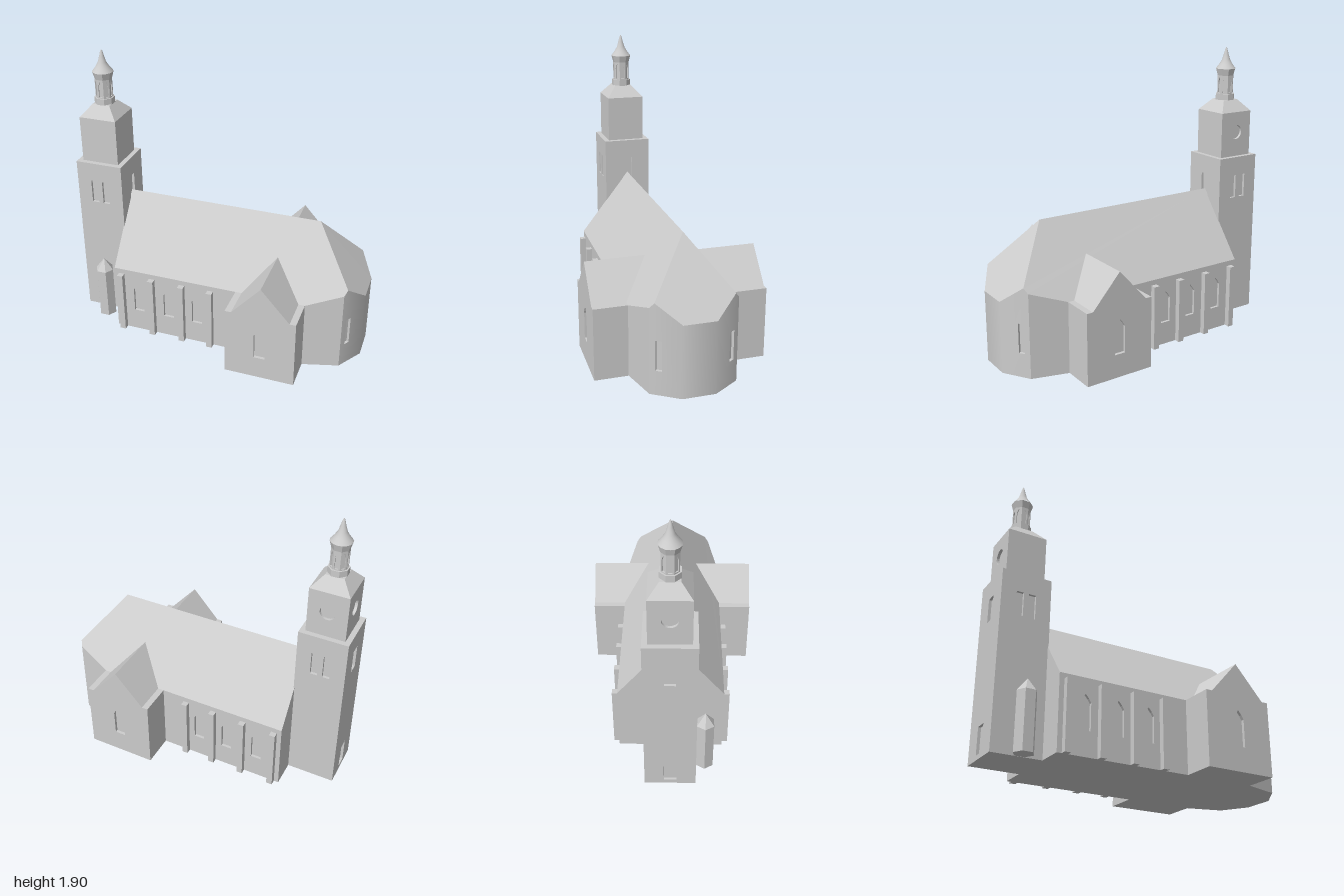
import * as THREE from 'three';

const stone = new THREE.MeshStandardMaterial({ color: 0xcccccc });
stone.name = 'pale stone';

const V = (pts) => pts.map(([x, y]) => new THREE.Vector2(x, y));

function add(parent, name, geometry) {
  const mesh = new THREE.Mesh(geometry, stone);
  mesh.name = name;
  parent.add(mesh);
  return mesh;
}

// Openings, given in wall coordinates (s along the wall, y up)
const rect = (s, w, y0, y1) => [[s - w / 2, y0], [s + w / 2, y0], [s + w / 2, y1], [s - w / 2, y1]];
const arch = (s, w, y0, spring, peak) => [
  [s - w / 2, y0], [s + w / 2, y0], [s + w / 2, spring],
  [s + w * 0.29, spring + (peak - spring) * 0.5], [s, peak],
  [s - w * 0.29, spring + (peak - spring) * 0.5], [s - w / 2, spring]];
const round = (s, y, r) => Array.from({ length: 24 }, (_, i) => {
  const a = (i / 24) * Math.PI * 2;
  return [s + r * Math.cos(a), y + r * Math.sin(a)];
});

// Wall from a to b (x, z) with recessed openings; bend rounds the shading at its ends
function wall(parent, name, a, b, outline, holes = [], depth = 0.018, bend = null) {
  const group = new THREE.Group();
  group.name = name;
  const dx = b[0] - a[0], dz = b[1] - a[1], length = Math.hypot(dx, dz);
  group.position.set(a[0], 0, a[1]);
  group.rotation.y = Math.atan2(-dz, dx);
  const shape = new THREE.Shape(V(outline));
  for (const h of holes) shape.holes.push(new THREE.Path(V(h)));
  const panel = new THREE.ExtrudeGeometry(shape, { depth, bevelEnabled: false });
  panel.translate(0, 0, -depth);
  if (bend) {
    const n = panel.attributes.normal, p = panel.attributes.position;
    for (let i = 0; i < n.count; i++) {
      if (n.getZ(i) < 0.9) continue;
      const t = bend[0] + (bend[1] - bend[0]) * (p.getX(i) / length);
      n.setXYZ(i, Math.sin(t), 0, Math.cos(t));
    }
  }
  add(group, name + 'Panel', panel);
  if (holes.length) {
    const back = new THREE.ShapeGeometry(new THREE.Shape(V(outline)));
    back.translate(0, 0, -depth);
    add(group, name + 'Recess', back);
  }
  parent.add(group);
}

// Flat convex face from its corners, counter-clockwise seen from outside
function face(parent, name, pts) {
  const pos = [];
  for (let i = 1; i < pts.length - 1; i++) pos.push(...pts[0], ...pts[i], ...pts[i + 1]);
  const g = new THREE.BufferGeometry();
  g.setAttribute('position', new THREE.Float32BufferAttribute(pos, 3));
  g.computeVertexNormals();
  return add(parent, name, g);
}
const mirrorZ = (pts) => pts.map((p) => [p[0], p[1], -p[2]]).reverse();

// Straight-sided solid with a regular base
function prism(parent, name, rTop, rBottom, y0, y1, sides, turn, x, z) {
  const g = new THREE.CylinderGeometry(rTop, rBottom, y1 - y0, sides, 1).toNonIndexed();
  g.computeVertexNormals();
  const mesh = add(parent, name, g);
  mesh.position.set(x, (y0 + y1) / 2, z);
  mesh.rotation.y = turn;
}

// Four walls of a square tower stage; holes listed as front, right (+x), back, left
function stage(parent, name, cx, h, y0, y1, holes) {
  const c = [[cx - h, h], [cx + h, h], [cx + h, -h], [cx - h, -h]];
  c.forEach((p, i) => wall(parent, name + 'Wall', p, c[(i + 1) % 4],
    [[0, y0], [2 * h, y0], [2 * h, y1], [0, y1]], holes[i]));
  face(parent, name + 'Top', c.map(([x, z]) => [x, y1, z]));
  face(parent, name + 'Base', c.map(([x, z]) => [x, y0, z]).reverse());
}

export function createModel() {
  const root = new THREE.Group();
  root.name = 'church';
  const church = new THREE.Group();
  church.name = 'churchBody';
  church.rotation.y = 0.02;
  root.add(church);

  const W = 0.34, EAVE = 0.475, RIDGE = 0.91, X0 = -0.678, X1 = 0.655;

  // Nave walls with pointed windows and buttresses
  const naveLength = X1 - X0;
  const naveOutline = [[0, 0], [naveLength, 0], [naveLength, EAVE], [0, EAVE]];
  const windows = [-0.507, -0.288, -0.082];
  wall(church, 'naveFront', [X0, W], [X1, W], naveOutline,
    windows.map((x) => arch(x - X0, 0.072, 0.155, 0.325, 0.375)));
  wall(church, 'naveBack', [X1, -W], [X0, -W], naveOutline,
    windows.map((x) => arch(X1 - x, 0.072, 0.155, 0.325, 0.375)));
  wall(church, 'naveGable', [X0, -W], [X0, W], [[0, 0], [2 * W, 0], [2 * W, EAVE], [W, RIDGE], [0, EAVE]]);
  for (const x of [-0.627, -0.405, -0.188, 0.015]) {
    for (const side of [1, -1]) {
      const b = add(church, 'buttress', new THREE.BoxGeometry(0.04, 0.44, 0.055));
      b.position.set(x, 0.22, side * 0.35);
    }
  }

  // Apse walls, whose tops follow the roof slopes
  const A = [0.89, 0.275], B = [1.0, 0.105], HIP = [0.907, 0.591, 0.249];
  const l1 = Math.hypot(A[0] - X1, W - A[1]), l2 = Math.hypot(B[0] - A[0], A[1] - B[1]);
  const hipS = Math.hypot(HIP[0] - A[0], A[1] - HIP[2]);
  const side1 = [[0, 0], [l1, 0], [l1, 0.558], [0, EAVE]];
  const side2 = [[0, 0], [l2, 0], [l2, EAVE], [hipS, HIP[1]], [0, 0.558]];
  const flip = (pts, l) => pts.map(([s, y]) => [l - s, y]).reverse();
  const slit = rect(0.058, 0.04, 0.16, 0.355);
  const m = ([x, z]) => [x, -z];
  wall(church, 'apseFrontSide', [X1, W], A, side1);
  wall(church, 'apseFrontCorner', A, B, side2, [slit], 0.018, [0, 0.28]);
  wall(church, 'apseEnd', B, m(B), [[0, 0], [0.21, 0], [0.21, EAVE], [0, EAVE]], [], 0.018, [-0.28, 0.28]);
  wall(church, 'apseBackCorner', m(B), m(A), flip(side2, l2), [flip(slit, l2)], 0.018, [-0.28, 0]);
  wall(church, 'apseBackSide', m(A), [X1, -W], flip(side1, l1));

  // Main roof and floor
  const slope = [[X0, EAVE, W], [X1, EAVE, W], [A[0], 0.558, A[1]], HIP, [X1, RIDGE, 0], [X0, RIDGE, 0]];
  face(church, 'roofFront', slope);
  face(church, 'roofBack', mirrorZ(slope));
  face(church, 'roofEnd', [[X1, RIDGE, 0], HIP, [B[0], EAVE, B[1]], [B[0], EAVE, -B[1]], [HIP[0], HIP[1], -HIP[2]]]);
  const half = [[X0, W], [X1, W], A, B];
  face(church, 'floor', [...half, ...half.map(m).reverse()].map(([x, z]) => [x, 0, z]).reverse());

  // Transept: gabled core with a windowed wall at each end
  const T0 = 0.19, TW = 0.465, TZ = 0.556;
  const gable = [[0, 0], [TW, 0], [TW, EAVE], [TW - 0.042, EAVE], [TW / 2, 0.69], [0.042, EAVE], [0, EAVE]];
  const core = new THREE.ExtrudeGeometry(new THREE.Shape(V(gable)), { depth: 2 * TZ - 0.04, bevelEnabled: false });
  add(church, 'transept', core).position.set(T0, 0, -TZ + 0.02);
  const gableWindow = [arch(TW / 2, 0.075, 0.155, 0.33, 0.385)];
  wall(church, 'transeptFront', [T0, TZ], [T0 + TW, TZ], gable, gableWindow, 0.02);
  wall(church, 'transeptBack', [T0 + TW, -TZ], [T0, -TZ], gable, gableWindow, 0.02);

  // Tower stages
  const TX = -0.835, H = 0.162, H2 = 0.128;
  const pair = [rect(H - 0.04, 0.048, 0.86, 1.02), rect(H + 0.04, 0.048, 0.86, 1.02)];
  const single = rect(H, 0.07, 0.86, 1.02);
  stage(church, 'tower', TX, H, 0, 1.15, [pair, [single], pair, [single, rect(H, 0.08, 0.03, 0.2)]]);
  const dial = [round(H2, 1.32, 0.05)];
  stage(church, 'belfry', TX, H2, 1.15, 1.46, [[], [], dial, dial]);
  const q = Math.SQRT2;
  prism(church, 'belfryRoof', 0.06 * q, H2 * q, 1.46, 1.537, 4, Math.PI / 4, TX, 0);

  // Octagonal lantern with arched openings
  const R = 0.057;
  prism(church, 'lanternPlinth', 0.067, 0.067, 1.53, 1.577, 8, Math.PI / 8, TX, 0);
  for (let i = 0; i < 8; i++) {
    const p = (k) => {
      const t = ((k + 0.5) * Math.PI) / 4;
      return [TX + R * Math.sin(t), R * Math.cos(t)];
    };
    const w = 2 * R * Math.sin(Math.PI / 8);
    wall(church, 'lanternSide', p(i - 1), p(i), [[0, 1.55], [w, 1.55], [w, 1.74], [0, 1.74]],
      [arch(w / 2, 0.024, 1.585, 1.66, 1.69)], 0.008);
  }

  // Lantern cornice and bell-shaped spire
  prism(church, 'lanternCornice', 0.07, 0.056, 1.70, 1.75, 8, Math.PI / 8, TX, 0);
  const spire = add(church, 'spire', new THREE.LatheGeometry(
    V([[0.069, 1.75], [0.046, 1.78], [0.028, 1.81], [0.016, 1.85], [0.007, 1.885], [0, 1.897]]), 16));
  spire.position.set(TX, 0, 0);

  // Small stair turret beside the tower
  prism(church, 'turret', 0.063, 0.063, 0, 0.365, 6, Math.PI / 6, -0.82, 0.22);
  prism(church, 'turretRoof', 0, 0.063, 0.365, 0.447, 6, Math.PI / 6, -0.82, 0.22);

  return root;
}
